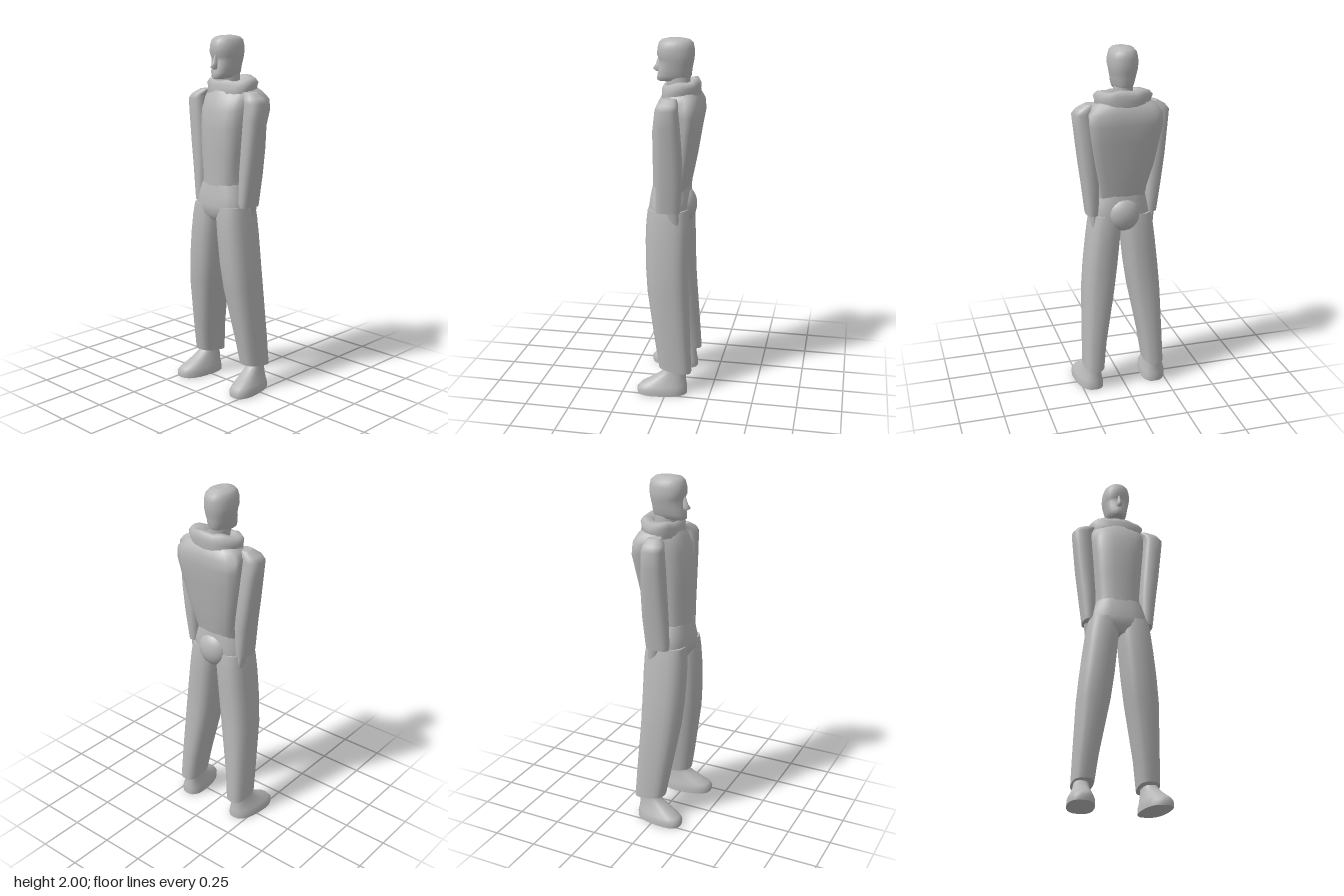
import * as THREE from 'three';

const SIDES = 20;

// Superellipse ring around y; tilt raises its front edge, p > 2 squares it off.
function oval({ y, x0, x1, z0, z1, p = 2.4, tilt = 0 }) {
  const ring = [];
  const cx = (x0 + x1) / 2, cz = (z0 + z1) / 2, rx = (x1 - x0) / 2, rz = (z1 - z0) / 2;
  const pow = (v) => Math.sign(v) * Math.abs(v) ** (2 / p);
  for (let i = 0; i < SIDES; i++) {
    const a = (i / SIDES) * Math.PI * 2;
    const z = pow(Math.sin(a));
    ring.push(new THREE.Vector3(cx + rx * pow(Math.cos(a)), y + tilt * z, cz + rz * z));
  }
  return ring;
}

// Chest ring: front, side and back half widths, front and back depth.
function chestRing([y, wf, ws, wb, zf, zb]) {
  const half = [[ws, -0.02], [wf, zf - 0.028], [0, zf], [-wf, zf - 0.028], [-ws, -0.02], [-wb, zb + 0.03], [0, zb], [wb, zb + 0.03]];
  const curve = new THREE.CatmullRomCurve3(half.map(([x, z]) => new THREE.Vector3(x, y, z)), true, 'centripetal');
  return curve.getPoints(24).slice(0, 24);
}

// Smooth skin over rings listed from bottom to top, with crisp flat caps.
function loft(rings) {
  const n = rings[0].length, pos = [], idx = [];
  const add = (v) => pos.push(v.x, v.y, v.z) / 3 - 1;
  rings.forEach((r) => r.forEach(add));
  for (let j = 0; j < rings.length - 1; j++) {
    for (let i = 0; i < n; i++) {
      const a = j * n + i, b = j * n + ((i + 1) % n);
      idx.push(a, a + n, b, b, a + n, b + n);
    }
  }
  [rings[0], rings[rings.length - 1]].forEach((ring, top) => {
    const mid = ring.reduce((s, v) => s.add(v), new THREE.Vector3()).divideScalar(n);
    const c = add(mid), first = pos.length / 3;
    ring.forEach(add);
    for (let i = 0; i < n; i++) {
      const a = first + i, b = first + ((i + 1) % n);
      if (top) idx.push(c, b, a); else idx.push(c, a, b);
    }
  });
  const geo = new THREE.BufferGeometry();
  geo.setAttribute('position', new THREE.Float32BufferAttribute(pos, 3));
  geo.setIndex(idx);
  geo.computeVertexNormals();
  return geo;
}

// Rows of [y, x0, x1, z0, z1, tilt], flipped to the other side when s = -1.
function ovalLoft(rows, p = 2.4, s = 1) {
  return loft(rows.map(([y, x0, x1, z0, z1, tilt = 0]) =>
    oval({ y, x0: s > 0 ? x0 : -x1, x1: s > 0 ? x1 : -x0, z0, z1, p, tilt })));
}

export function createModel() {
  const group = new THREE.Group();
  const grey = new THREE.MeshStandardMaterial({ color: 0xb8b8b8 });
  grey.name = 'plain grey';
  const add = (name, geo) => {
    const mesh = new THREE.Mesh(geo, grey);
    mesh.name = name;
    group.add(mesh);
    return mesh;
  };

  // Jacket body, wide across the shoulder blades
  add('jacket', loft([
    [1.165, 0.10, 0.135, 0.115, 0.112, -0.095],
    [1.24, 0.10, 0.13, 0.13, 0.11, -0.11],
    [1.36, 0.11, 0.14, 0.16, 0.112, -0.132],
    [1.5, 0.115, 0.155, 0.185, 0.112, -0.152],
    [1.6, 0.12, 0.165, 0.2, 0.1, -0.168],
    [1.66, 0.115, 0.17, 0.2, 0.078, -0.162],
    [1.7, 0.1, 0.16, 0.16, 0.058, -0.148],
    [1.74, 0.06, 0.1, 0.1, 0.03, -0.12],
  ].map(chestRing)));

  // Rumpled hood collar, lower at the front
  const collarRows = [
    [1.665, -0.145, 0.145, -0.145, 0.05, -0.015],
    [1.69, -0.158, 0.158, -0.152, 0.062, -0.015],
    [1.72, -0.155, 0.155, -0.15, 0.055, -0.012],
    [1.745, -0.165, 0.165, -0.152, 0.055, -0.012],
    [1.768, -0.145, 0.145, -0.14, 0.045, -0.012],
    [1.77, -0.1, 0.1, -0.115, 0.03, -0.012],
    [1.745, -0.07, 0.07, -0.09, 0.02, -0.01],
  ];
  const collar = ovalLoft(collarRows, 2.2);
  const cp = collar.attributes.position;
  for (let i = 0; i < cp.count; i++) {
    const a = Math.atan2(cp.getZ(i) + 0.045, cp.getX(i));
    cp.setY(i, cp.getY(i) + 0.006 * Math.cos(a * 5));
  }
  collar.computeVertexNormals();
  add('collar', collar);

  // Neck and head
  add('neck', ovalLoft([
    [1.7, -0.06, 0.05, -0.09, 0.03],
    [1.8, -0.06, 0.045, -0.095, 0.04],
  ], 2));
  add('head', ovalLoft([
    [1.768, -0.04, 0.025, -0.06, 0.082],
    [1.775, -0.056, 0.04, -0.088, 0.092],
    [1.8, -0.068, 0.052, -0.1, 0.09],
    [1.835, -0.076, 0.058, -0.104, 0.083],
    [1.865, -0.083, 0.065, -0.11, 0.076],
    [1.885, -0.087, 0.069, -0.114, 0.078],
    [1.91, -0.09, 0.073, -0.117, 0.09],
    [1.945, -0.088, 0.072, -0.116, 0.088],
    [1.975, -0.08, 0.065, -0.11, 0.08],
    [1.992, -0.064, 0.05, -0.09, 0.064],
    [2.0, -0.035, 0.02, -0.055, 0.03],
  ], 2.2));
  add('nose', ovalLoft([
    [1.82, -0.019, 0.007, 0.05, 0.095],
    [1.832, -0.024, 0.012, 0.05, 0.115],
    [1.855, -0.018, 0.006, 0.05, 0.099],
    [1.9, -0.013, 0.001, 0.05, 0.084],
  ], 2));

  // Trouser seat and hips
  add('hips', ovalLoft([
    [0.985, -0.085, 0.085, -0.08, 0.1],
    [1.02, -0.165, 0.165, -0.105, 0.128],
    [1.07, -0.172, 0.172, -0.108, 0.13],
    [1.13, -0.155, 0.155, -0.105, 0.122],
    [1.19, -0.135, 0.135, -0.098, 0.11],
  ], 2.5));
  const seat = new THREE.SphereGeometry(1, 20, 14);
  seat.scale(0.095, 0.1, 0.065);
  seat.translate(0, 1.075, -0.07);
  add('seat', seat);

  for (const s of [1, -1]) {
    const side = s > 0 ? 'left' : 'right';

    // Sleeve with a sloping shoulder cap
    add(side + 'Sleeve', ovalLoft([
      [1.07, 0.135, 0.203, -0.07, 0.064],
      [1.1, 0.132, 0.207, -0.073, 0.066],
      [1.25, 0.13, 0.226, -0.084, 0.064],
      [1.4, 0.14, 0.246, -0.083, 0.062],
      [1.55, 0.152, 0.262, -0.074, 0.06],
      [1.645, 0.16, 0.272, -0.066, 0.057],
      [1.672, 0.15, 0.25, -0.064, 0.05],
      [1.7, 0.135, 0.205, -0.05, 0.02],
    ], 2.5, s));

    // Hand tapering below the cuff
    add(side + 'Hand', ovalLoft([
      [0.95, 0.162, 0.17, -0.048, -0.036],
      [1.0, 0.15, 0.178, -0.064, -0.012],
      [1.09, 0.145, 0.19, -0.062, 0.01],
    ], 2, s));

    // Trouser leg with a slanted hem
    add(side + 'Leg', ovalLoft([
      [0.14, 0.12, 0.24, -0.14, 0.045, 0.014],
      [0.3, 0.1, 0.236, -0.13, 0.07],
      [0.6, 0.045, 0.227, -0.113, 0.118],
      [0.75, 0.025, 0.214, -0.11, 0.13],
      [0.9, 0.01, 0.197, -0.11, 0.134],
      [1.0, 0.0, 0.184, -0.108, 0.132],
      [1.07, 0.0, 0.172, -0.1, 0.125],
    ], 2.6, s));

    // Shoe with its toe turned slightly out
    add(side + 'Shoe', ovalLoft([
      [0.0, 0.122, 0.272, -0.118, 0.165],
      [0.03, 0.123, 0.272, -0.118, 0.168],
      [0.052, 0.13, 0.262, -0.114, 0.15],
      [0.08, 0.138, 0.25, -0.11, 0.1],
      [0.11, 0.146, 0.24, -0.108, 0.05],
      [0.14, 0.15, 0.234, -0.106, 0.01],
      [0.17, 0.15, 0.234, -0.104, 0.0],
    ], 2.5, s));
    const sp = group.children[group.children.length - 1].geometry;
    const pos = sp.attributes.position;
    for (let i = 0; i < pos.count; i++) pos.setX(i, pos.getX(i) + s * 0.12 * pos.getZ(i));
    sp.computeVertexNormals();
  }
  return group;
}
